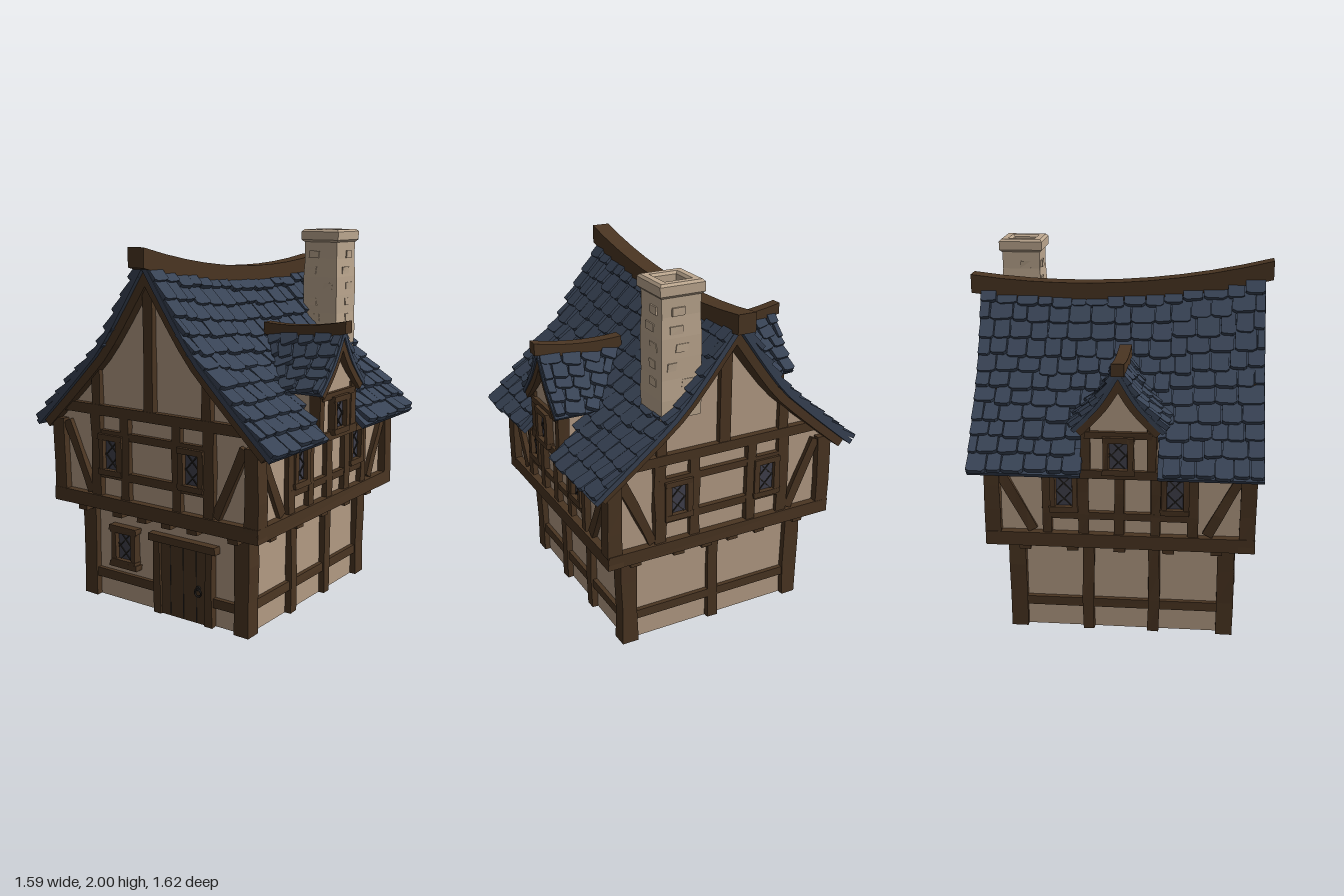
import * as THREE from 'three';
import { mergeGeometries } from 'three/addons/utils/BufferGeometryUtils.js';

const mat = (name, color) => Object.assign(new THREE.MeshStandardMaterial({ color }), { name });
const plaster = mat('plaster', 0xb39b84), timber = mat('timber', 0x4a3522), slate = mat('slate', 0x384355);
const stone = mat('chimney stone', 0xbca78f), glass = mat('dark glass', 0x40404c);
const lead = mat('lead', 0x24211f);
const lerp = THREE.MathUtils.lerp;

let seed = 7;
const rand = (a, b) => {
  seed = (seed * 16807) % 2147483647;
  return a + (b - a) * (seed / 2147483647);
};

function flat(geo) {
  const g = geo.index ? geo.toNonIndexed() : geo;
  g.computeVertexNormals();
  return g;
}

function add(parent, name, geo, material, x = 0, y = 0, z = 0) {
  const m = new THREE.Mesh(geo, material);
  m.name = name;
  m.position.set(x, y, z);
  parent.add(m);
  return m;
}

// Moves each vertex by a rule: fn(v) edits it in place
function bend(geo, fn) {
  const p = geo.attributes.position, v = new THREE.Vector3();
  for (let i = 0; i < p.count; i++) {
    v.fromBufferAttribute(p, i);
    fn(v);
    p.setXYZ(i, v.x, v.y, v.z);
  }
  return flat(geo);
}

// Hand-hewn box: corners nudged a little
function block(parent, name, x, y, z, w, h, d, material = timber, rough = 0.004) {
  const k = rand(0, 9);
  const geo = bend(new THREE.BoxGeometry(w, h, d, 1, h > 0.3 ? 3 : 1, 1), v => {
    const a = Math.sin(v.x * 91 + v.y * 57 + v.z * 73 + k);
    v.x += a * rough;
    v.z += Math.cos(a * 5 + k) * rough * 0.5;
  });
  return add(parent, name, geo, material, x, y, z);
}

// Slanted timber between two points of a wall
function brace(parent, x0, y0, x1, y1, z) {
  const m = block(parent, 'brace', (x0 + x1) / 2, (y0 + y1) / 2, z, 0.05, Math.hypot(x1 - x0, y1 - y0), 0.04);
  m.rotation.z = -Math.atan2(x1 - x0, y1 - y0);
}

function leadedWindow(parent, x, y, z, w, h) {
  const g = new THREE.Group();
  g.name = 'window';
  g.position.set(x, y, z);
  parent.add(g);
  add(g, 'pane', new THREE.BoxGeometry(w, h, 0.008), glass, 0, 0, 0.008);
  for (const s of [-1, 1]) {
    block(g, 'windowJamb', s * (w / 2 + 0.012), 0, 0.015, 0.032, h + 0.04, 0.045);
    block(g, 'windowRail', 0, s * (h / 2 + 0.01), 0.015, w + 0.06, 0.03, 0.05);
    for (const o of [-0.25, 0.25])
      add(g, 'leadBar', new THREE.BoxGeometry(w * 1.35, 0.006, 0.006), lead, 0, o * h, 0.014).rotation.z = s * 0.8;
  }
}

// Roof surfaces: u runs from ridge (0) to eave (1), f from back (0) to front (1)
function roofSurface(points, zBack, zFront, sag) {
  const curve = new THREE.SplineCurve(points.map(p => new THREE.Vector2(...p)));
  return (u, f, s) => {
    const p = curve.getPointAt(THREE.MathUtils.clamp(u, 0, 1)), z = lerp(zBack(u), zFront, f);
    return new THREE.Vector3(p.x * s, p.y + sag(z) * (1 - u), z);
  };
}

function frameAt(surf, u, f, s) {
  const up = surf(Math.max(u - 0.06, 0), f, s).sub(surf(Math.max(u, 0.06), f, s)).normalize();
  return { up, n: new THREE.Vector3(up.y * s, Math.abs(up.x), 0).normalize() };
}

// Solid sheet that follows a roof surface, from offset hi down to offset lo
function sheet(surf, s, u0, u1, f0, f1, hi, lo) {
  return bend(new THREE.BoxGeometry(1, 1, 1, 10, 1, 8), v => {
    const u = lerp(u0, u1, 0.5 + v.x * s), f = lerp(f0, f1, v.z + 0.5);
    const off = v.y > 0 ? hi : lo;
    v.copy(surf(u, f, s)).addScaledVector(frameAt(surf, u, f, s).n, off);
  });
}

// Overlapping slates in staggered rows
function slates(surf, s, rows, minW, maxW, skip = () => false) {
  const out = [];
  for (let r = 0; r < rows; r++) {
    const u = (r + 1) / rows;
    const len = surf(0, 1, 1).distanceTo(surf(1, 1, 1)) * 1.4 / rows;
    const span = surf(u, 0, s).distanceTo(surf(u, 1, s));
    let f = 0;
    while (f < 0.999) {
      let w = rand(minW, maxW) / span;
      if (f === 0 && r % 2) w *= 0.6;
      if (1 - f - w < 0.4 * minW / span) w = 1 - f;
      const mid = f + w / 2, W = (w * span) / 2 - 0.002;
      f += w;
      if (skip(u, mid)) continue;
      const c = W * 0.35, d = rand(-0.012, 0.01);
      const shape = new THREE.Shape([[-W, d + c * 0.6], [-W + c, d], [W - c, d + rand(-0.004, 0.004)], [W, d + c * 0.6], [W * 0.95, len], [-W * 0.95, len]]
        .map(p => new THREE.Vector2(...p)));
      const geo = new THREE.ExtrudeGeometry(shape, { depth: 0.024, bevelEnabled: false });
      const { up, n } = frameAt(surf, u, mid, s);
      const y = up.clone().addScaledVector(n, -rand(0.14, 0.24)).normalize();
      const x = new THREE.Vector3().crossVectors(y, n).normalize();
      const z = new THREE.Vector3().crossVectors(x, y);
      const m = new THREE.Matrix4().makeBasis(x, y, z);
      m.setPosition(surf(u, mid, s).addScaledVector(n, rand(0.014, 0.026)));
      out.push(geo.applyMatrix4(m));
    }
  }
  return mergeGeometries(out);
}

// Ridge beam running along z under a sagging top line
function ridgeBeam(parent, z0, z1, w, h, top) {
  const geo = bend(new THREE.BoxGeometry(w, h, z1 - z0, 1, 1, 10), v => {
    v.z += (z0 + z1) / 2;
    v.y += top(v.z) - h / 2;
  });
  add(parent, 'ridgeBeam', geo, timber);
}

function face(parent, name, angle) {
  const g = new THREE.Group();
  g.name = name;
  g.rotation.y = angle;
  parent.add(g);
  return g;
}

function gableWall(parent, surf, f, z, base, half, depth) {
  const pts = [];
  for (let i = 0; i <= 10; i++) {
    const p = surf(i / 10, f, 1);
    if (p.x < half) pts.push([p.x, p.y - 0.025]);
  }
  const left = pts.slice(1).reverse().map(([x, y]) => [-x, y]);
  const outline = [[-half, base], ...left, ...pts, [half, base]].reverse();
  const shape = new THREE.Shape(outline.map(p => new THREE.Vector2(...p)));
  add(parent, 'gableWall', new THREE.ExtrudeGeometry(shape, { depth, bevelEnabled: false }), plaster, 0, 0, z);
}

function groundFloor(house) {
  add(house, 'groundWalls', new THREE.BoxGeometry(1.04, 0.56, 1.13), plaster, 0, 0.28, 0);
  for (const x of [-1, 1]) for (const z of [-1, 1])
    block(house, 'cornerPost', x * 0.51, 0.28, z * 0.555, 0.09, 0.56, 0.09);
  const front = face(house, 'groundFront', 0), back = face(house, 'groundBack', Math.PI);
  block(front, 'rail', -0.26, 0.135, 0.57, 0.43, 0.05, 0.04);
  block(front, 'rail', 0.39, 0.135, 0.57, 0.16, 0.05, 0.04);
  leadedWindow(front, -0.265, 0.32, 0.57, 0.11, 0.16);
  block(front, 'windowSill', -0.265, 0.215, 0.585, 0.19, 0.03, 0.05);
  block(front, 'windowLintel', -0.265, 0.42, 0.585, 0.19, 0.03, 0.05);
  // Door with planks, lintel and ring handle
  block(front, 'door', 0.135, 0.2, 0.57, 0.34, 0.4, 0.04, timber, 0.001);
  for (const x of [-0.035, 0.305]) block(front, 'doorJamb', x, 0.2, 0.575, 0.045, 0.4, 0.055);
  for (const x of [0.05, 0.135, 0.22]) add(front, 'plankGap', new THREE.BoxGeometry(0.003, 0.38, 0.003), lead, x, 0.2, 0.591);
  block(front, 'doorLintel', 0.133, 0.42, 0.575, 0.44, 0.04, 0.07);
  add(front, 'handlePlate', new THREE.CylinderGeometry(0.014, 0.014, 0.01, 8).rotateX(Math.PI / 2), lead, 0.235, 0.195, 0.594);
  add(front, 'handleRing', new THREE.TorusGeometry(0.02, 0.005, 6, 12), lead, 0.235, 0.172, 0.598);
  block(back, 'rail', 0, 0.155, 0.57, 1, 0.05, 0.04);
  block(back, 'post', 0, 0.28, 0.57, 0.06, 0.56, 0.05);
  for (const s of [-1, 1]) {
    const side = face(house, 'groundSide', s * Math.PI / 2);
    block(side, 'rail', 0, 0.155, 0.525, 1.1, 0.05, 0.04);
    for (const x of [-0.175, 0.175]) block(side, 'post', x, 0.28, 0.525, 0.06, 0.56, 0.06);
  }
}

function upperFloor(house) {
  add(house, 'upperWalls', new THREE.BoxGeometry(1.26, 0.48, 1.31), plaster, 0, 0.81, 0);
  add(house, 'overhangUnderside', new THREE.BoxGeometry(1.28, 0.02, 1.33), slate, 0, 0.56, 0);
  for (const x of [-1, 1]) for (const z of [-1, 1])
    block(house, 'upperCornerPost', x * 0.63, 0.81, z * 0.655, 0.08, 0.4, 0.08);
  for (const [angle, d] of [[0, 0.655], [Math.PI, 0.655]]) {
    const g = face(house, 'upperGableFace', angle), back = angle > 0, z = d + 0.008;
    block(g, 'sillBeam', 0, 0.583, d, 1.34, 0.075, 0.085);
    for (const x of [-0.5, -0.25, -0.08, 0.08, 0.25, 0.5]) block(g, 'joist', x, 0.53, 0.6, 0.06, 0.045, 0.13);
    block(g, 'rail', 0, 1.085, z, 1.24, 0.055, 0.055);
    block(g, 'rail', 0, 0.96, z, 0.76, 0.04, 0.04);
    block(g, 'rail', 0, 0.745, z, 0.76, 0.045, 0.04);
    const top = back ? 1.76 : 1.84;
    block(g, 'kingPost', 0, (1.1 + top) / 2, z, 0.06, top - 1.1, 0.05);
    for (const s of [-1, 1]) {
      block(g, 'post', s * 0.37, 0.84, z, 0.065, 0.46, 0.045);
      block(g, 'post', s * 0.17, 0.84, z, 0.055, 0.46, 0.045);
      block(g, 'gablePost', s * 0.36, back ? 1.2 : 1.23, z, 0.055, back ? 0.22 : 0.27, 0.045);
      leadedWindow(g, s * 0.265, 0.85, d + 0.004, 0.1, 0.17);
      brace(g, s * 0.58, 1.0, s * 0.41, 0.63, z);
    }
  }
  for (const s of [-1, 1]) {
    const g = face(house, 'upperSideFace', s * Math.PI / 2), d = 0.63, z = 0.638;
    block(g, 'sillBeam', 0, 0.583, d, 1.39, 0.075, 0.085);
    for (const x of [-0.5, -0.25, 0, 0.25, 0.5]) block(g, 'joist', x, 0.53, 0.57, 0.06, 0.045, 0.13);
    block(g, 'rail', 0, 0.965, z, 1.3, 0.045, 0.05);
    block(g, 'rail', 0, 0.72, z, 0.76, 0.04, 0.04);
    for (const x of [-0.375, -0.185, 0, 0.185, 0.375]) block(g, 'post', x, 0.79, z, 0.052, 0.36, 0.045);
    for (const x of [-1, 1]) {
      leadedWindow(g, x * 0.285, 0.85, d + 0.004, 0.09, 0.17);
      brace(g, x * 0.62, 0.96, x * 0.45, 0.63, z);
    }
  }
}

function dormer(house, side) {
  const g = face(house, 'dormer', side * Math.PI / 2);
  const sag = z => 0.04 * ((z - 0.4) / 0.35) ** 2 - 0.04;
  const surf = roofSurface([[0, 1.5], [0.095, 1.345], [0.225, 1.205]], u => 0.27 + 0.23 * u, 0.735, sag);
  gableWall(g, surf, 0.9, 0.38, 0.96, 0.185, 0.31);
  block(g, 'dormerSill', 0, 0.97, 0.675, 0.4, 0.045, 0.07);
  block(g, 'dormerHeader', 0, 1.18, 0.69, 0.34, 0.035, 0.04);
  leadedWindow(g, 0, 1.075, 0.692, 0.1, 0.15);
  for (const s of [-1, 1]) {
    block(g, 'dormerPost', s * 0.165, 1.1, 0.675, 0.05, 0.25, 0.06);
    add(g, 'dormerRoofDeck', sheet(surf, s, 0, 1, 0, 1, 0.012, -0.01), slate);
    add(g, 'dormerBargeBoard', sheet(surf, s, 0, 0.97, 0.88, 0.98, -0.008, -0.045), timber);
    add(g, 'dormerSlates', slates(surf, s, 5, 0.07, 0.11), slate);
  }
  ridgeBeam(g, 0.26, 0.755, 0.065, 0.065, z => 1.56 + sag(z));
}

function chimney(root) {
  const g = new THREE.Group();
  g.name = 'chimney';
  g.position.set(0.28, 0, -0.573);
  root.add(g);
  const body = bend(new THREE.BoxGeometry(0.21, 0.62, 0.21, 2, 6, 2), v => {
    const k = 1.04 - 0.16 * Math.max(0, v.y) + 0.02 * Math.sin(v.y * 23);
    v.x *= k;
    v.z *= k;
  });
  add(g, 'chimneyStack', body, stone, 0, 1.63, 0);
  // Proud stones on each face
  for (let i = 0; i < 4; i++) {
    const f = face(g, 'stoneFace', i * Math.PI / 2);
    for (let j = 0; j < 5; j++)
      block(f, 'proudStone', rand(-0.065, 0.065), 1.5 + j * 0.09, 0.1, rand(0.05, 0.08), 0.04, 0.025, stone);
  }
  const square = r => [[-r, -r], [r, -r], [r, r], [-r, r]].map(p => new THREE.Vector2(...p));
  const shape = new THREE.Shape(square(0.108));
  shape.holes.push(new THREE.Path(square(0.075).reverse()));
  const cap = new THREE.ExtrudeGeometry(shape, { depth: 0.046, bevelEnabled: true, bevelSize: 0.012, bevelThickness: 0.012, bevelSegments: 1 });
  add(g, 'chimneyCap', cap.rotateX(-Math.PI / 2), stone, 0, 1.942, 0);
}

export function createModel() {
  const root = new THREE.Group();
  root.name = 'timberHouse';
  const house = new THREE.Group();
  house.name = 'house';
  house.position.z = 0.05;
  root.add(house);
  groundFloor(house);
  upperFloor(house);
  for (const s of [-1, 1]) dormer(house, s);

  // Main roof with a gap at the eaves for each dormer
  const rise = z => 0.118 * (z + 0.25) ** 2 - 0.135;
  const surf = roofSurface([[0, 1.87], [0.27, 1.47], [0.46, 1.265], [0.76, 0.975]], u => -0.76 + 0.05 * u, 0.775, rise);
  gableWall(root, surf, 0.95, 0.665, 1.0, 0.63, 0.04);
  gableWall(root, surf, 0.1, -0.605, 1.0, 0.63, 0.04);
  for (const s of [-1, 1]) {
    for (const [u, a, b] of [[1, 0, 0.385], [0.8, 0.385, 0.645], [1, 0.645, 1]])
      add(root, 'roofDeck', sheet(surf, s, 0, u, a, b, 0.012, -0.015), slate);
    add(root, 'roofSlates', slates(surf, s, 11, 0.075, 0.13, (u, f) => u > 0.83 && f > 0.375 && f < 0.655), slate);
    for (const [a, b] of [[0.945, 0.985], [0.02, 0.1]])
      add(root, 'bargeBoard', sheet(surf, s, 0, 0.97, a, b, -0.014, -0.06), timber);
  }
  ridgeBeam(root, -0.81, 0.815, 0.1, 0.1, z => 1.94 + rise(z));
  chimney(root);
  return root;
}
